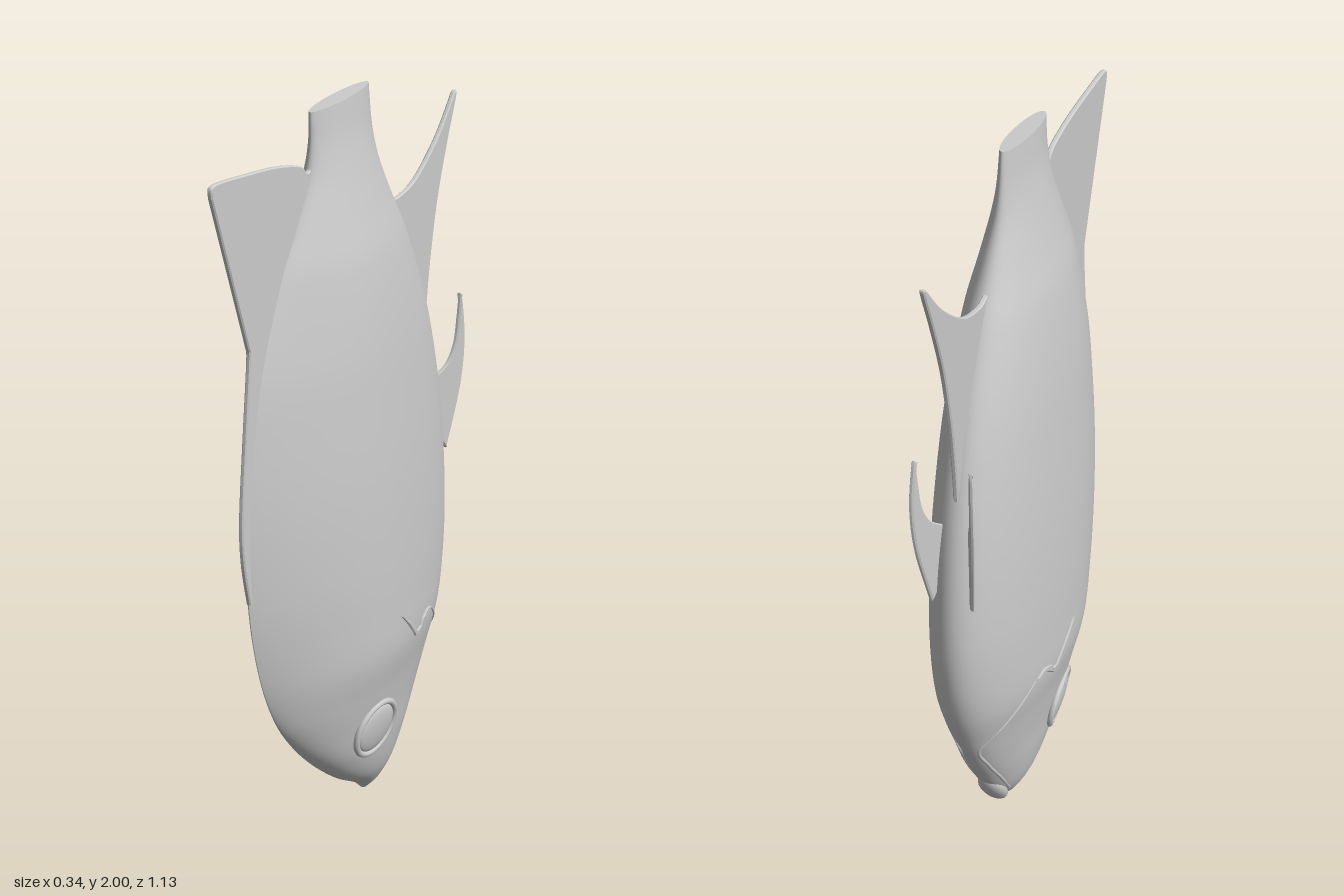
import * as THREE from 'three';

// Body stations: height, front edge z, back edge z, half width
const ROWS = [
  [0, -0.1, -0.125, 0.01], [0.03, -0.07, -0.165, 0.036], [0.1, 0.035, -0.225, 0.073],
  [0.2, 0.15, -0.285, 0.1], [0.3, 0.245, -0.34, 0.116], [0.4, 0.32, -0.385, 0.135],
  [0.52, 0.38, -0.43, 0.159], [0.65, 0.42, -0.457, 0.163], [0.8, 0.445, -0.465, 0.163],
  [1, 0.45, -0.45, 0.158], [1.2, 0.43, -0.415, 0.147], [1.4, 0.385, -0.355, 0.132],
  [1.6, 0.295, -0.265, 0.105], [1.72, 0.22, -0.195, 0.076], [1.82, 0.165, -0.145, 0.052],
  [1.9, 0.148, -0.125, 0.036], [2, 0.148, -0.115, 0.025],
];

// Smooth interpolation between stations
function station(y) {
  const n = ROWS.length - 1;
  let i = 0;
  while (i < n - 1 && y > ROWS[i + 1][0]) i++;
  const a = ROWS[i], b = ROWS[i + 1], h = b[0] - a[0];
  const t = Math.min(1, Math.max(0, (y - a[0]) / h));
  const slope = (j, k) => {
    const p = ROWS[Math.max(0, j - 1)], q = ROWS[Math.min(n, j + 1)];
    return (q[k] - p[k]) / (q[0] - p[0]);
  };
  const [front, back, w] = [1, 2, 3].map((k) =>
    (2 * t ** 3 - 3 * t * t + 1) * a[k] + (t ** 3 - 2 * t * t + t) * h * slope(i, k) +
    (3 * t * t - 2 * t ** 3) * b[k] + (t ** 3 - t * t) * h * slope(i + 1, k));
  return { mid: (front + back) / 2, half: (front - back) / 2, w };
}

// Width fraction across a section: keeled front, rounded back, oval at the neck and snout
function widthAt(u, y) {
  const keel = THREE.MathUtils.smoothstep(y, 0.1, 0.6) * (1 - THREE.MathUtils.smoothstep(y, 1.4, 1.85));
  const p = 1 + 0.9 * keel * THREE.MathUtils.smoothstep(u, -0.5, 0.6);
  return Math.pow(Math.sqrt(Math.max(0, 1 - u * u)), p);
}

function bodyX(y, z) {
  const s = station(y);
  return s.w * widthAt((z - s.mid) / s.half, y);
}

const SEG = 72, LEVELS = 120;
function ring(y) {
  const s = station(y), pts = [];
  for (let j = 0; j < SEG; j++) {
    const t = (j / SEG) * Math.PI * 2, u = Math.cos(t), z = s.mid + s.half * u;
    const tilt = THREE.MathUtils.smoothstep(y, 1.85, 2) * 0.02 * (z + 0.115) / 0.263;
    pts.push([Math.sign(Math.sin(t)) * s.w * widthAt(u, y), y - tilt, z]);
  }
  return pts;
}

function buffer(pos, index) {
  const g = new THREE.BufferGeometry();
  g.setAttribute('position', new THREE.Float32BufferAttribute(pos.flat(), 3));
  g.setIndex(index);
  g.computeVertexNormals();
  return g;
}

function bodyGeometry() {
  const pos = [], index = [];
  for (let i = 0; i <= LEVELS; i++) {
    const f = i / LEVELS;
    pos.push(...ring(2 * Math.pow(f, 1.25)));
    if (i === LEVELS) break;
    for (let j = 0; j < SEG; j++) {
      const a = i * SEG + j, b = i * SEG + (j + 1) % SEG;
      index.push(a, b, b + SEG, a, b + SEG, a + SEG);
    }
  }
  const tip = pos.push([0, 0, -0.112]) - 1;
  for (let j = 0; j < SEG; j++) index.push(tip, (j + 1) % SEG, j);
  return buffer(pos, index);
}

function capGeometry() {
  const pos = ring(2), index = [];
  const c = pos.push([0, 1.99, 0.0165]) - 1;
  for (let j = 0; j < SEG; j++) index.push(c, j, (j + 1) % SEG);
  return buffer(pos, index);
}

// Thin plate in the z-y plane; each run of points is one smooth edge
function plate(runs, thick) {
  const shape = new THREE.Shape();
  shape.moveTo(...runs[0][0]);
  runs.forEach((run, i) => {
    const pts = (i ? run : run.slice(1)).map((p) => new THREE.Vector2(...p));
    if (pts.length === 1) shape.lineTo(pts[0].x, pts[0].y);
    else shape.splineThru(pts);
  });
  const g = new THREE.ExtrudeGeometry(shape, {
    depth: thick / 2, bevelEnabled: true, bevelThickness: thick / 4, bevelSize: 0.003,
    bevelOffset: -0.003, bevelSegments: 1, curveSegments: 10,
  });
  g.translate(0, 0, -thick / 4);
  g.rotateY(-Math.PI / 2);
  return g;
}

// Shift a plate sideways by a rule of y and z
function shiftX(g, rule) {
  const p = g.attributes.position;
  for (let i = 0; i < p.count; i++) p.setX(i, p.getX(i) + rule(p.getY(i), p.getZ(i)));
  g.computeVertexNormals();
  return g;
}

export function createModel() {
  const model = new THREE.Group();
  const mat = new THREE.MeshStandardMaterial({ color: 0xcccccc, side: THREE.DoubleSide });
  const add = (name, geo, parent = model) => {
    const m = new THREE.Mesh(geo, mat);
    m.name = name;
    parent.add(m);
    return m;
  };

  add('body', bodyGeometry());
  add('neckCap', capGeometry());

  // Dorsal fin with a long low ridge below it
  add('dorsalFin', plate([
    [[0.1, 1.8], [0.155, 1.845]],
    [[0.17, 1.84], [0.2, 1.863], [0.3, 1.885], [0.42, 1.897], [0.53, 1.905], [0.565, 1.9], [0.567, 1.875]],
    [[0.43, 1.475]],
    [[0.428, 1.44], [0.45, 1.25], [0.471, 1.05], [0.468, 0.93], [0.445, 0.81]],
    [[0.4, 0.8]], [[0.36, 1.2]], [[0.25, 1.55]],
  ], 0.014));

  // Swept fin on the belly side
  add('analFin', plate([
    [[-0.14, 1.7], [-0.195, 1.695]],
    [[-0.225, 1.677], [-0.27, 1.672], [-0.36, 1.7], [-0.47, 1.785], [-0.553, 1.882]],
    [[-0.564, 1.875], [-0.52, 1.76], [-0.47, 1.61], [-0.435, 1.44], [-0.418, 1.3], [-0.41, 1.18]],
    [[-0.36, 1.2]], [[-0.27, 1.5]],
  ], 0.014));

  // Parts that come in mirrored pairs
  for (const [side, label] of [[1, 'left'], [-1, 'right']]) {
    const half = new THREE.Group();
    half.name = label + 'Side';
    half.scale.x = side;
    model.add(half);

    add(label + 'PelvicFin', shiftX(plate([
      [[-0.4, 1.13], [-0.418, 1.14]],
      [[-0.45, 1.17], [-0.47, 1.22], [-0.478, 1.29], [-0.483, 1.36]],
      [[-0.49, 1.33], [-0.498, 1.22], [-0.487, 1.09], [-0.45, 0.92]],
      [[-0.415, 0.98]],
    ], 0.012), (y, z) => 0.04 + (-0.42 - z) * 0.5), half);

    // Small pectoral fin lying along the flank
    add(label + 'PectoralFin', shiftX(plate([
      [[-0.03, 0.612], [-0.08, 0.575]],
      [[-0.13, 0.525]], [[-0.15, 0.53]],
      [[-0.165, 0.55], [-0.2, 0.562], [-0.23, 0.55]],
      [[-0.19, 0.543]], [[-0.145, 0.508]], [[-0.12, 0.513]], [[-0.07, 0.57]],
    ], 0.01), bodyX), half);

    // Gill cover edge following the surface
    const edge = [[0.545, -0.235], [0.5, -0.285], [0.44, -0.335], [0.37, -0.362],
      [0.28, -0.315], [0.18, -0.25], [0.09, -0.19]];
    const path = new THREE.CatmullRomCurve3(edge.map(([y, z]) =>
      new THREE.Vector3(bodyX(y, z) - 0.002, y, z)));
    add(label + 'GillEdge', new THREE.TubeGeometry(path, 48, 0.005, 8), half);

    // Eye: shallow dome in a raised rim, turned to the surface
    const ey = 0.28, ez = 0.01, d = 0.06;
    const normal = new THREE.Vector3(1,
      -(bodyX(ey + d, ez) - bodyX(ey - d, ez)) / (2 * d),
      -(bodyX(ey, ez + d) - bodyX(ey, ez - d)) / (2 * d)).normalize();
    const eye = new THREE.Group();
    eye.name = label + 'Eye';
    eye.position.set(bodyX(ey, ez), ey, ez);
    eye.quaternion.setFromUnitVectors(new THREE.Vector3(0, 0, 1), normal);
    half.add(eye);
    add('eyeRim', new THREE.TorusGeometry(0.081, 0.009, 10, 40), eye);
    add('eyeball', new THREE.SphereGeometry(0.073, 32, 16), eye).scale.z = 0.2;
  }

  // Lower jaw, parted from the snout by the mouth
  const jaw = add('lowerJaw', new THREE.SphereGeometry(1, 28, 18));
  jaw.scale.set(0.04, 0.085, 0.024);
  jaw.position.set(0, 0.085, -0.203);
  jaw.rotation.x = -0.55;

  return model;
}
